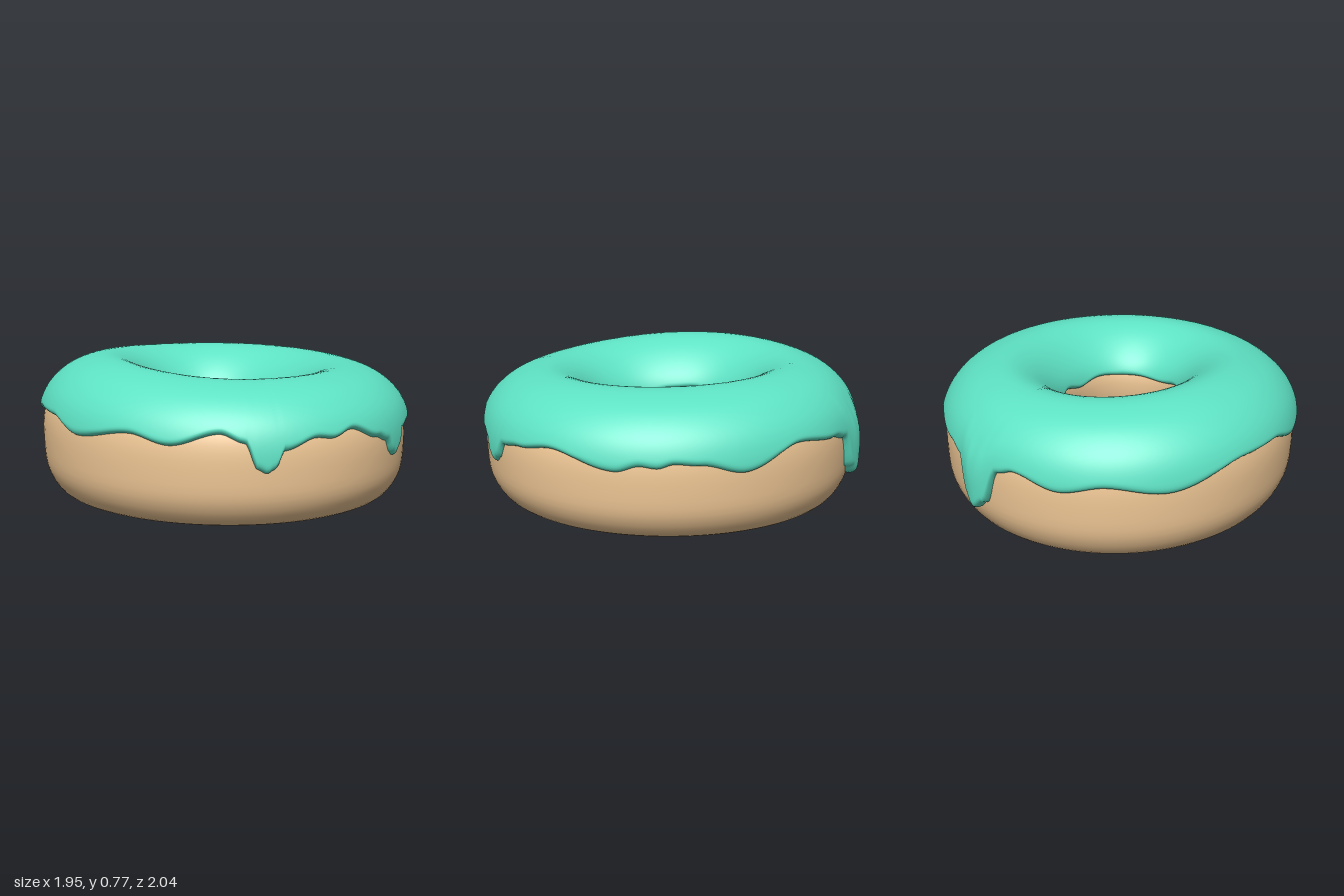
import * as THREE from 'three';

const TAU = Math.PI * 2;
const rad = THREE.MathUtils.degToRad;

// Ring cross-section: x = 0 at the hole, 1 at the outer wall; y = 0 bottom, 1 top
const section = new THREE.CatmullRomCurve3([
  [0, .6], [.03, .4], [.12, .2], [.3, .04], [.5, 0], [.7, .01], [.86, .07], [.97, .22], [1, .42],
  [.99, .64], [.93, .78], [.8, .9], [.64, .97], [.45, 1], [.28, .95], [.12, .84], [.03, .73],
].map(([x, y]) => new THREE.Vector3(x, y, 0)), true);

// Lower edge of the icing: [degrees from the front towards +x, height]
const hem = [
  [-95, .5], [-80, .5], [-65, .44], [-44, .49], [-31, .45], [-16, .51], [-9, .47], [-5.5, .345], [-3, .325], [-.8, .345],
  [2, .43], [12, .48], [17, .47], [24, .5], [34, .44], [39, .41], [41.5, .345], [43.5, .32], [46, .35],
  [49, .43], [57, .45], [69, .48], [90, .41], [97, .44], [102, .43], [107, .45], [115, .44], [128, .39],
  [148, .485], [165, .45], [172, .42], [177, .24], [180, .19], [184, .24], [189, .43], [195, .46],
  [209, .41], [222, .45], [239, .41], [265, .5],
];

function hemHeight(deg) {
  const d = deg > 265 ? deg - 360 : deg;
  let k = 1;
  while (k < hem.length - 1 && hem[k][0] < d) k++;
  const [d0, y0] = hem[k - 1], [d1, y1] = hem[k];
  return THREE.MathUtils.lerp(y0, y1, THREE.MathUtils.smoothstep(d, d0, d1));
}

// Uneven outline, hole and height of the ring at angle t
function ringAt(t) {
  const hump = Math.max(0, -Math.sin(t));
  return {
    inner: .34 + .035 * Math.cos(2 * (t - rad(20))),
    outer: .965 + .03 * Math.cos(2 * (t - rad(35))),
    bottom: .012 - .012 * Math.cos(t - rad(210)),
    top: .705 + .035 * hump * hump - .012 * Math.cos(t),
  };
}

// Section point in the ring's radial plane, pushed outwards by an offset
function profilePoint(ring, u, offset) {
  const at = (w) => {
    const p = section.getPoint(((w % 1) + 1) % 1);
    return [ring.inner + p.x * (ring.outer - ring.inner), ring.bottom + p.y * (ring.top - ring.bottom)];
  };
  const [r, y] = at(u);
  if (!offset) return [r, y];
  const a = at(u - .004), b = at(u + .004);
  const dr = b[0] - a[0], dy = b[1] - a[1], len = Math.hypot(dr, dy);
  return [r + offset * dy / len, y - offset * dr / len];
}

// Surface swept round the ring; pointAt(t, v) gives [radius, height]
function sweep(name, color, around, across, closed, rowAt) {
  const pos = [], index = [], cols = closed ? across : across + 1;
  for (let i = 0; i < around; i++) {
    const t = i / around * TAU, pointAt = rowAt(t);
    for (let j = 0; j < cols; j++) {
      const [r, y] = pointAt(j / across);
      pos.push(r * Math.sin(t) - .01, y, r * Math.cos(t) + .01);
    }
  }
  for (let i = 0; i < around; i++) {
    for (let j = 0; j < across; j++) {
      const i1 = (i + 1) % around, j1 = (j + 1) % cols;
      const a = i * cols + j, b = i1 * cols + j, c = i1 * cols + j1, d = i * cols + j1;
      index.push(a, b, c, a, c, d);
    }
  }
  const geo = new THREE.BufferGeometry();
  geo.setAttribute('position', new THREE.Float32BufferAttribute(pos, 3));
  geo.setIndex(index);
  geo.computeVertexNormals();
  const mesh = new THREE.Mesh(geo, new THREE.MeshStandardMaterial({ color }));
  mesh.name = name;
  return mesh;
}

export function createModel() {
  const group = new THREE.Group();
  group.name = 'donut';

  // Dough ring
  group.add(sweep('dough', 0xf0c896, 128, 64, true, (t) => {
    const ring = ringAt(t);
    return (v) => profilePoint(ring, v, 0);
  }));

  // Icing: from the dripping hem, over the top and into the hole
  group.add(sweep('icing', 0x5ee2c4, 420, 52, false, (t) => {
    const ring = ringAt(t), deg = t / TAU * 360, edge = hemHeight(deg);
    let lo = 5 / 17, hi = 11 / 17;
    for (let k = 0; k < 22; k++) {
      const mid = (lo + hi) / 2;
      if (profilePoint(ring, mid, 0)[1] < edge) lo = mid; else hi = mid;
    }
    const end = (16.45 + .12 * Math.sin(5 * t) + .06 * Math.sin(8 * t + 1)) / 17;
    const backDrip = .028 * Math.exp(-(((deg - 180.5) / 5) ** 2));
    return (v) => {
      const w = .5 - .5 * Math.cos(Math.PI * v);
      const lip = Math.min(1, Math.min(w, 1 - w) * 1.3 / .04);
      const thick = .03 + backDrip * (1 - THREE.MathUtils.smoothstep(w, .1, .3));
      const offset = -.004 + (thick + .004) * Math.sqrt(1 - (1 - lip) ** 2);
      return profilePoint(ring, lo + (end - lo) * w, offset);
    };
  }));

  return group;
}
